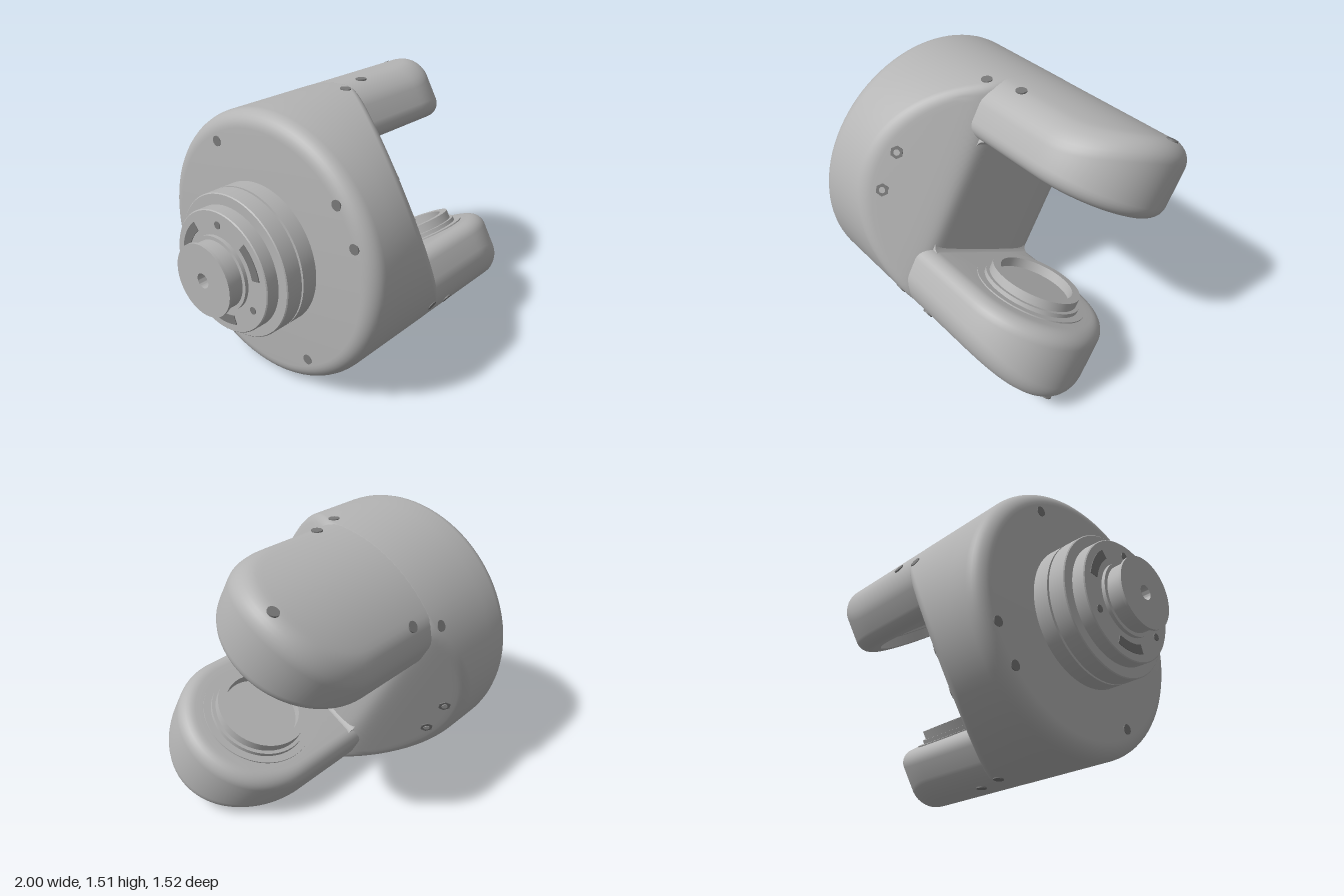
import * as THREE from 'three';
import { toCreasedNormals } from 'three/addons/utils/BufferGeometryUtils.js';

const metal = new THREE.MeshStandardMaterial({ color: 0xb4b4b4 });
metal.name = 'light grey metal';
const dark = new THREE.MeshStandardMaterial({ color: 0x787878 });
dark.name = 'dark socket grey';

const R = 0.75;          // body radius
const FACE = -0.587;     // rear face of the body, along the axis (local x)
const ARM = { h: 0.44, uc: 0.535, inner: 0.33 };
const V = (x, y, z) => new THREE.Vector3(x, y, z);

function add(parent, name, geometry, material = metal) {
  const m = new THREE.Mesh(geometry, material);
  m.name = name;
  parent.add(m);
  return m;
}

// Joins closed loops of points into one surface.
function skin(rings, flip = false) {
  const n = rings[0].length, pos = [], idx = [];
  rings.forEach(r => r.forEach(p => pos.push(p.x, p.y, p.z)));
  for (let i = 0; i < rings.length - 1; i++) for (let j = 0; j < n; j++) {
    const k = (j + 1) % n, a = i * n + j, b = a + n, c = i * n + k, d = c + n;
    if (flip) idx.push(a, b, c, c, b, d);
    else idx.push(a, c, b, c, d, b);
  }
  const g = new THREE.BufferGeometry();
  g.setAttribute('position', new THREE.Float32BufferAttribute(pos, 3));
  g.setIndex(idx);
  return toCreasedNormals(g, 0.5);
}

function lathe(profile) {
  return toCreasedNormals(new THREE.LatheGeometry(profile.map(p => new THREE.Vector2(...p)), 64), 0.5);
}

// Front end of the body: flat fork floor with a sloping cut on both sides.
function frontEnd(w) {
  const a = 0.12, b = 0.11 - (Math.abs(w) - 0.4) * 0.95;
  return 0.5 * (a + b - Math.hypot(a - b, 0.04));
}

function bodyGeometry() {
  const n = 96, rings = [], f = 0.09, e = 0.04;
  const ring = (r, u) => rings.push(Array.from({ length: n }, (_, j) => {
    const t = j / n * Math.PI * 2, v = r * Math.cos(t), w = r * Math.sin(t);
    return V(u(w), v, w);
  }));
  ring(0, () => FACE);
  for (let i = 0; i <= 8; i++) {
    const t = i / 8 * Math.PI / 2;
    ring(R - f + f * Math.sin(t), () => FACE + f - f * Math.cos(t));
  }
  ring(R, () => -0.37);
  for (let i = 0; i <= 6; i++) {
    const s = Math.sin((1 - i / 6) * Math.PI / 2);
    ring(R - e + e * s, w => frontEnd(w) - e * (1 - Math.sqrt(1 - s * s)));
  }
  for (let i = 1; i <= 32; i++) ring((R - e) * (1 - i / 32), frontEnd);
  return skin(rings);
}

// Fork arm: round-ended plan, domed outside, softened rims, stepped bore inside.
function armGeometry() {
  const { h, uc, inner } = ARM, fi = 0.08, fo = 0.1, rings = [];
  const plan = d => {
    const q = h - d, p = [];
    for (let i = 0; i < 8; i++) p.push([uc * i / 8, -q]);
    for (let i = 0; i <= 36; i++) {
      const t = (i / 36 - 0.5) * Math.PI;
      p.push([uc + q * Math.cos(t), q * Math.sin(t)]);
    }
    for (let i = 7; i >= 0; i--) p.push([uc * i / 8, q]);
    for (let i = 1; i < 8; i++) p.push([0, q * (1 - i / 4)]);
    return p;
  };
  const bore = (r, v) => rings.push(plan(0).map(([u, w]) => {
    const t = Math.atan2(w, u - uc);
    return V(uc + r * Math.cos(t), v, r * Math.sin(t));
  }));
  const dome = (d, drop) => rings.push(plan(d).map(([u, w]) => V(u, Math.sqrt(0.749 ** 2 - w * w) - drop, w)));
  [[0, 0.2], [0.28, 0.2], [0.28, 0.06], [0.315, 0.06], [0.315, 0]].forEach(([r, v]) => bore(r, inner + v));
  for (let i = 0; i <= 7; i++) {
    const t = i / 7 * Math.PI / 2;
    const d = fi * (1 - Math.sin(t)), v = inner + fi * (1 - Math.cos(t));
    rings.push(plan(d).map(([u, w]) => V(u, v, w)));
  }
  for (let i = 0; i <= 7; i++) {
    const t = i / 7 * Math.PI / 2;
    dome(fo * (1 - Math.cos(t)), fo * (1 - Math.sin(t)));
  }
  for (let i = 1; i <= 12; i++) dome(fo + (h - fo) * i / 12, 0);
  return skin(rings, true);
}

// Round or six-sided plate whose face looks along the given direction.
function plate(parent, name, at, dir, r, sides = 20, material = dark, height = 0.008) {
  const m = add(parent, name, new THREE.CylinderGeometry(r, r, height, sides), material);
  m.position.copy(at);
  m.quaternion.setFromUnitVectors(V(0, 1, 0), dir.clone().normalize());
  return m;
}

export function createModel() {
  const model = new THREE.Group();
  model.name = 'forkJoint';
  const joint = new THREE.Group();
  joint.name = 'joint';
  joint.rotation.set(-Math.PI / 6, -0.076, 0, 'YXZ');
  joint.position.set(0, 0.75, 0.015);
  model.add(joint);

  add(joint, 'body', bodyGeometry());

  // Two halves of the fork; the second is turned half round the axis
  const arm = armGeometry();
  const corner = new THREE.Shape();
  corner.moveTo(0.07, 0.335);
  corner.lineTo(0.16, 0.335);
  corner.absarc(0.16, 0.275, 0.06, Math.PI / 2, Math.PI, false);
  corner.lineTo(0.07, 0.275);
  const filletGeo = toCreasedNormals(new THREE.ExtrudeGeometry(corner, { depth: 0.76, bevelEnabled: false, curveSegments: 8 }).translate(0, 0, -0.38), 0.5);
  ['upper', 'lower'].forEach((side, i) => {
    const half = new THREE.Group();
    half.name = side + 'Fork';
    half.rotation.x = i * Math.PI;
    joint.add(half);
    add(half, side + 'Arm', arm);
    add(half, side + 'Fillet', filletGeo);

    // Sockets on the domed outside
    [[0.22, -0.35], [0.22, 0.36], [0.02, -0.41], [0.02, 0.41], [0.9, 0]].forEach(([u, w]) => {
      const v = Math.sqrt(R * R - w * w);
      plate(half, 'armSocket', V(u, v, w), V(0, v, w), 0.03);
    });
    // Nuts on the sloping cut, and matching holes in the rear face
    [-0.11, 0.11].forEach(v => {
      const at = V(frontEnd(0.66), v, 0.66), dir = V(0.95, 0, 1);
      plate(half, 'nutPocket', at, dir, 0.036, 6);
      plate(half, 'boltEnd', at, dir, 0.017, 16, metal, 0.014);
      plate(half, 'rearHole', V(FACE + 0.002, v, 0.65), V(-1, 0, 0), 0.028);
    });
    plate(half, 'rearHole', V(FACE, 0.62, 0), V(-1, 0, 0), 0.028);
  });

  // Raised bearing ring on the lower arm
  const boss = add(joint, 'bearingBoss', lathe([
    [0.315, 0], [0.315, 0.012], [0.275, 0.012], [0.275, 0.035], [0.255, 0.035],
    [0.255, 0.085], [0.21, 0.085], [0.21, 0.03], [0, 0.03]]));
  boss.position.set(ARM.uc, -ARM.inner - 0.005, 0);

  // Stepped drive flange and shaft at the rear
  const flange = add(joint, 'driveFlange', lathe([
    [0, -0.93], [0.04, -0.93], [0.04, -0.99], [0.195, -0.99], [0.195, -0.975], [0.18, -0.97],
    [0.18, -0.895], [0.2, -0.895], [0.2, -0.875], [0.325, -0.875], [0.33, -0.87], [0.33, -0.8],
    [0.385, -0.8], [0.39, -0.795], [0.39, -0.702], [0.36, -0.702], [0.36, -0.69],
    [0.39, -0.69], [0.39, -0.6], [0.36, -0.6], [0.36, -0.58]]));
  flange.rotation.z = -Math.PI / 2;

  // Curved slots and pin holes in the flange face
  for (let i = 0; i < 3; i++) {
    const a = i * Math.PI * 2 / 3, slot = new THREE.Shape();
    slot.absarc(0, 0, 0.285, a - 0.35, a + 0.35, false);
    slot.absarc(0, 0, 0.235, a + 0.35, a - 0.35, true);
    const m = add(joint, 'flangeSlot', new THREE.ExtrudeGeometry(slot, { depth: 0.006, bevelEnabled: false }), dark);
    m.rotation.y = -Math.PI / 2;
    m.position.x = -0.873;
    const b = a + Math.PI / 3;
    plate(joint, 'flangePin', V(-0.875, 0.26 * Math.sin(b), 0.26 * Math.cos(b)), V(-1, 0, 0), 0.02);
  }
  return model;
}
